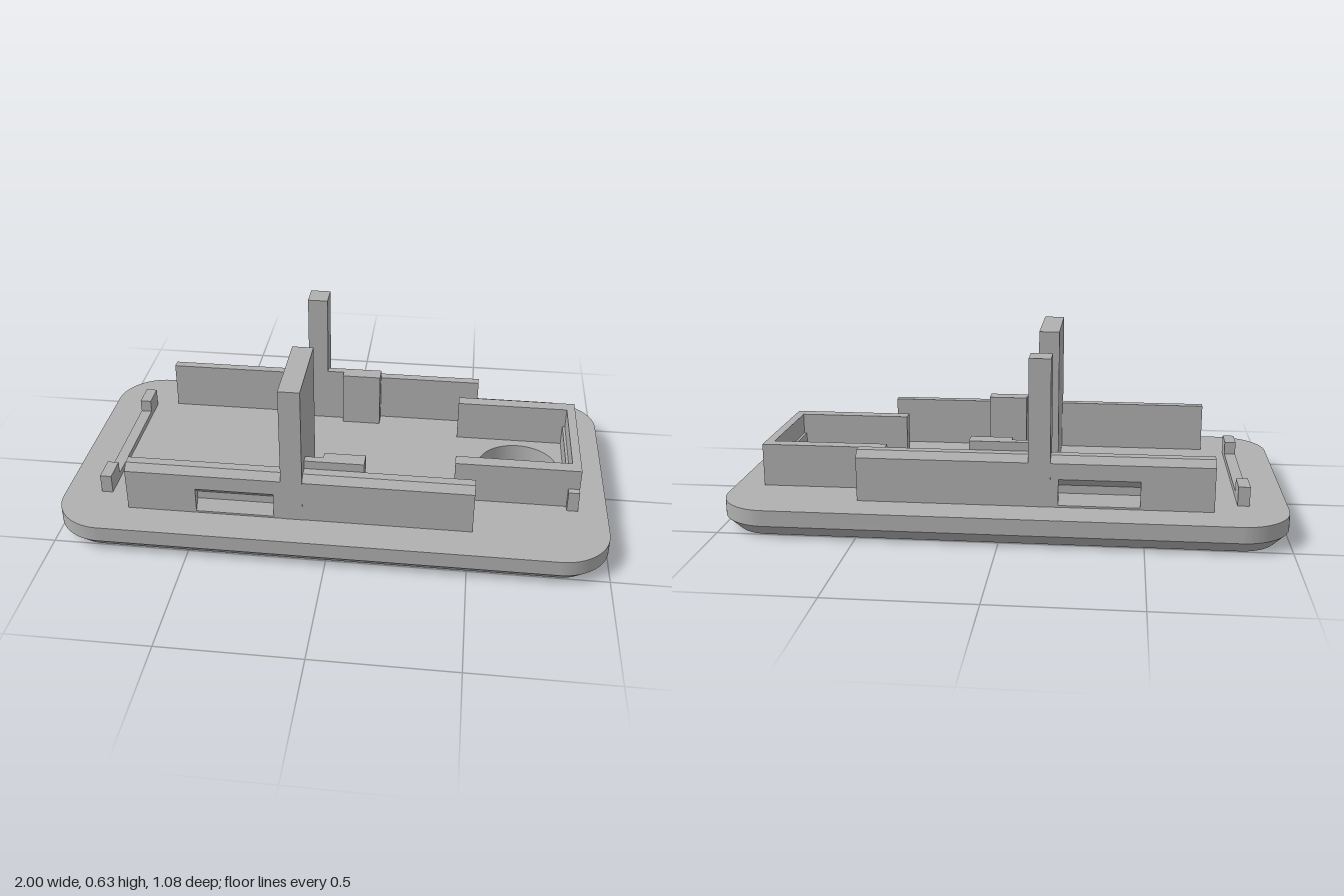
import * as THREE from 'three';
import { toCreasedNormals } from 'three/addons/utils/BufferGeometryUtils.js';

const BASE_TOP = 0.103;

export function createModel() {
  const model = new THREE.Group();
  model.name = 'mountingPlate';
  const grey = new THREE.MeshStandardMaterial({ color: 0xb0b0b0 });
  grey.name = 'plain grey';

  const add = (name, geometry, parent = model) => {
    const mesh = new THREE.Mesh(geometry, grey);
    mesh.name = name;
    parent.add(mesh);
    return mesh;
  };

  // Box given by its limits on each axis
  const box = (name, x0, x1, y0, y1, z0, z1, parent) => {
    const g = new THREE.BoxGeometry(x1 - x0, y1 - y0, Math.abs(z1 - z0));
    g.translate((x0 + x1) / 2, (y0 + y1) / 2, (z0 + z1) / 2);
    return add(name, g, parent);
  };

  // Profile of [z, y] points swept along x
  const sweep = (name, points, x0, x1, parent) => {
    const shape = new THREE.Shape(points.map(([z, y]) => new THREE.Vector2(z, y)));
    const g = new THREE.ExtrudeGeometry(shape, { depth: x1 - x0, bevelEnabled: false });
    g.rotateY(-Math.PI / 2).translate(x1, 0, 0);
    return add(name, g, parent);
  };

  // Base plate: rounded rectangle with a round hole and a chamfered underside
  const W = 1, D = 0.54, R = 0.18, CHAMFER = 0.045;
  const hole = new THREE.Vector2(0.68, 0.03), holeR = 0.153;
  const outline = new THREE.Shape();
  outline.absarc(W - R, D - R, R, 0, Math.PI / 2);
  outline.absarc(R - W, D - R, R, Math.PI / 2, Math.PI);
  outline.absarc(R - W, R - D, R, Math.PI, Math.PI * 1.5);
  outline.absarc(W - R, R - D, R, Math.PI * 1.5, Math.PI * 2);
  outline.closePath();
  const holePath = new THREE.Path();
  holePath.absarc(hole.x, hole.y, holeR, 0, Math.PI * 2, true);
  outline.holes.push(holePath);
  const plate = new THREE.ExtrudeGeometry(outline, {
    depth: BASE_TOP, steps: 2, bevelEnabled: false, curveSegments: 20,
  });
  const pos = plate.attributes.position;
  const p = new THREE.Vector2(), c = new THREE.Vector2();
  for (let i = 0; i < pos.count; i++) {
    const h = pos.getZ(i);
    if (h > BASE_TOP * 0.75) continue;
    if (h > BASE_TOP * 0.25) { pos.setZ(i, CHAMFER); continue; }
    p.set(pos.getX(i), pos.getY(i));
    if (p.distanceTo(hole) < holeR + 0.005) continue;
    // pull the lowest outline in along its own normal
    c.set(THREE.MathUtils.clamp(p.x, R - W, W - R), THREE.MathUtils.clamp(p.y, R - D, D - R));
    p.sub(c).multiplyScalar((R - CHAMFER) / R).add(c);
    pos.setXY(i, p.x, p.y);
  }
  plate.rotateX(-Math.PI / 2);
  add('basePlate', toCreasedNormals(plate, 0.5));

  // Long side walls with a chamfered top edge, a groove, a post and a clip block
  for (const [side, s, postInner] of [['front', 1, 0.077], ['back', -1, 0.315]]) {
    const wall = new THREE.Group();
    wall.name = side + 'Wall';
    model.add(wall);
    const top = [[0.405, 0.262], [0.38, 0.286], [0.345, 0.286]];
    const plain = [[0.345, BASE_TOP], [0.405, BASE_TOP], ...top];
    const grooved = [[0.345, BASE_TOP], [0.405, BASE_TOP], [0.405, 0.11], [0.373, 0.145],
      [0.373, 0.175], [0.405, 0.205], ...top];
    const flip = (pts) => pts.map(([z, y]) => [s * z, y]);
    sweep(side + 'WallLeft', flip(plain), -0.2, 0.515, wall);
    sweep(side + 'WallGrooved', flip(grooved), -0.485, -0.2, wall);
    sweep(side + 'WallRight', flip(plain), -0.74, -0.485, wall);
    box(side + 'Post', -0.172, -0.095, BASE_TOP, 0.632, s * postInner, s * 0.406, wall);
    box(side + 'ClipNeck', -0.095, -0.03, BASE_TOP, 0.318, s * 0.315, s * 0.345, wall);
    box(side + 'ClipBlock', -0.03, 0.12, BASE_TOP, 0.318, s * 0.285, s * 0.345, wall);
  }

  // U-shaped bracket around the hole
  const bracket = new THREE.Group();
  bracket.name = 'bracket';
  model.add(bracket);
  box('bracketBackArm', 0.44, 0.863, BASE_TOP, 0.26, -0.268, -0.22, bracket);
  box('bracketFrontArm', 0.44, 0.863, BASE_TOP, 0.26, 0.16, 0.21, bracket);
  box('bracketEnd', 0.863, 0.895, BASE_TOP, 0.26, -0.268, 0.21, bracket);
  box('bracketLedge', 0.853, 0.894, BASE_TOP, 0.182, -0.22, 0.236, bracket);

  // Low rail with a raised stop at each end
  const rail = new THREE.Group();
  rail.name = 'endRail';
  model.add(rail);
  box('railBar', -0.867, -0.825, BASE_TOP, 0.125, -0.233, 0.222, rail);
  box('railBackStop', -0.867, -0.825, BASE_TOP, 0.173, -0.329, -0.233, rail);
  box('railFrontStop', -0.867, -0.825, BASE_TOP, 0.173, 0.222, 0.318, rail);

  return model;
}
